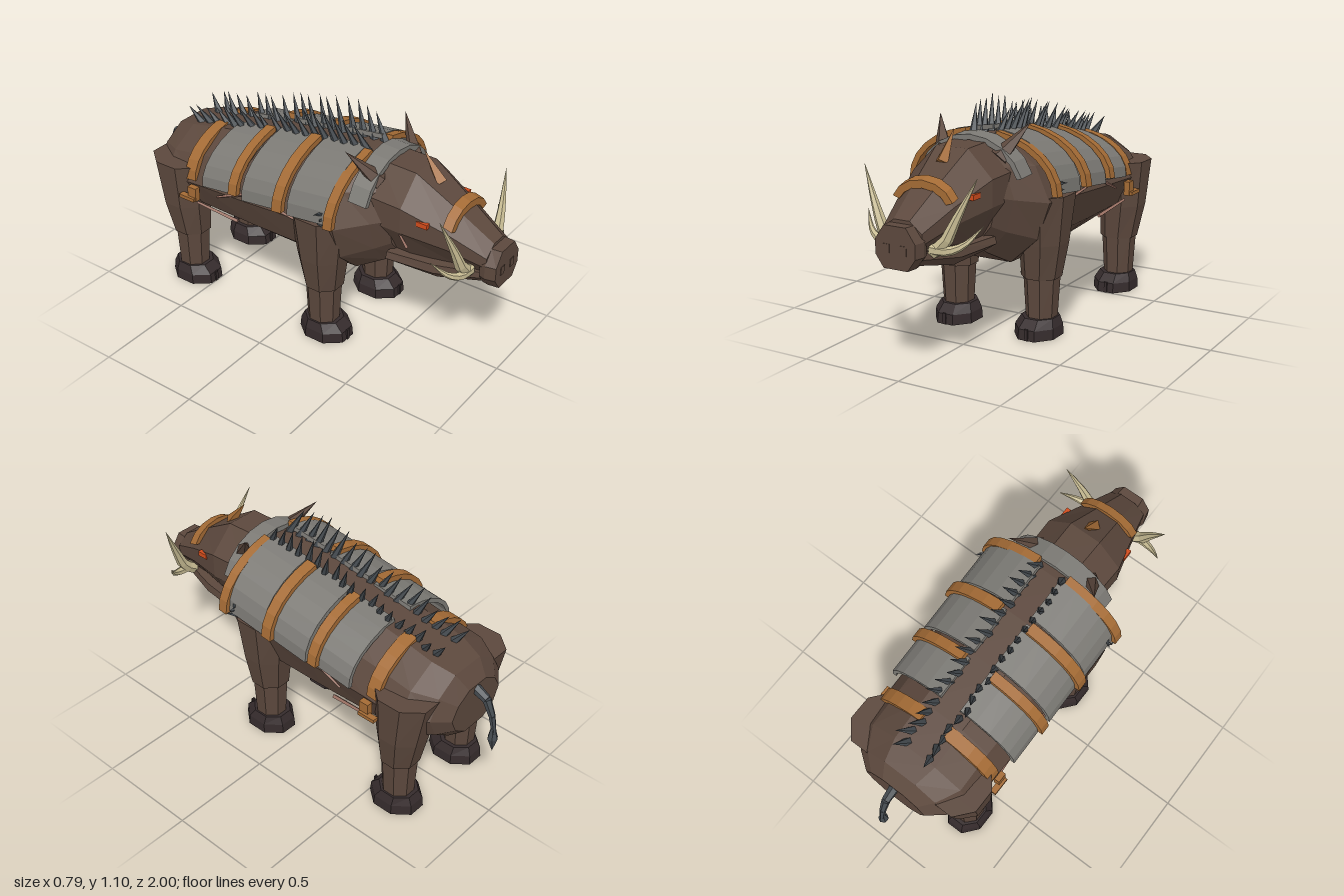
import * as THREE from 'three';

const mat = (name, color) => {
  const m = new THREE.MeshStandardMaterial({ color });
  m.name = name;
  return m;
};

export function createModel() {
  const hide = mat('brown hide', 0x5c483d), hoofMat = mat('dark hoof', 0x352b2c);
  const plateMat = mat('grey plate', 0x7c7a75), strapMat = mat('tan leather', 0xa46b35);
  const spikeMat = mat('dark steel', 0x454b50), ivory = mat('ivory', 0xc9bd94);
  const eyeMat = mat('ember eye', 0xd24c1c), scarMat = mat('pink scar', 0x9c7264);
  const model = new THREE.Group();
  const V = (x, y, z) => new THREE.Vector3(x, y, z);

  // Adds a mesh with faceted normals
  function add(name, geo, material, parent = model) {
    const g = geo.index ? geo.toNonIndexed() : geo;
    g.computeVertexNormals();
    const mesh = new THREE.Mesh(g, material);
    mesh.name = name;
    parent.add(mesh);
    return mesh;
  }

  // Skins a list of equal-length rings and caps both ends
  function loft(rings) {
    const n = rings[0].length, pos = [], idx = [];
    rings.forEach(r => r.forEach(p => pos.push(p.x, p.y, p.z)));
    for (let i = 0; i < rings.length - 1; i++) for (let j = 0; j < n; j++) {
      const a = i * n + j, b = i * n + (j + 1) % n;
      idx.push(a, b, b + n, a, b + n, a + n);
    }
    const e = (rings.length - 1) * n;
    for (let j = 1; j < n - 1; j++) idx.push(0, j + 1, j, e, e + j, e + j + 1);
    const g = new THREE.BufferGeometry();
    g.setAttribute('position', new THREE.Float32BufferAttribute(pos, 3));
    g.setIndex(idx);
    return g;
  }

  // Mirrored upright cross-section from [width, height] fractions, bottom to top
  function section(z, w, bot, top, frac) {
    const right = frac.map(([fx, fy]) => V(fx * w, bot + fy * (top - bot), z));
    return [...right, ...right.map(p => V(-p.x, p.y, z)).reverse()];
  }

  // Tapered rod between two points
  function rod(name, from, to, r0, r1, sides, material, parent) {
    const d = to.clone().sub(from);
    const m = add(name, new THREE.CylinderGeometry(r1, r0, d.length(), sides), material, parent);
    m.position.copy(from).addScaledVector(d, 0.5);
    m.quaternion.setFromUnitVectors(V(0, 1, 0), d.normalize());
    return m;
  }

  // Curved slab around the back: an elliptical arc extruded along z, following the back's slope
  function arcBand(name, z0, z1, rx, ry, yc, a0, a1, n, thick, slope, material) {
    const pts = [];
    const at = (i, t) => {
      const a = THREE.MathUtils.degToRad(a0 + (a1 - a0) * i / n);
      return new THREE.Vector2((rx - t) * Math.sin(a), yc + (ry - t) * Math.cos(a));
    };
    for (let i = 0; i <= n; i++) pts.push(at(i, 0));
    for (let i = n; i >= 0; i--) pts.push(at(i, thick));
    const g = new THREE.ExtrudeGeometry(new THREE.Shape(pts), { depth: z1 - z0, bevelEnabled: false });
    g.translate(0, 0, z0);
    const p = g.attributes.position;
    for (let i = 0; i < p.count; i++) p.setY(i, p.getY(i) + slope * (p.getZ(i) - (z0 + z1) / 2));
    return add(name, g, material);
  }

  // Body, from rump to neck
  const bodyFrac = [[0.4, 0], [0.82, 0.22], [1, 0.52], [0.78, 0.8], [0.35, 1]];
  add('body', loft([
    [-0.87, 0.17, 0.46, 0.69], [-0.81, 0.25, 0.42, 0.76], [-0.7, 0.325, 0.39, 0.79],
    [-0.5, 0.325, 0.375, 0.83], [-0.2, 0.335, 0.36, 0.88], [0.05, 0.34, 0.355, 0.92],
    [0.3, 0.335, 0.36, 0.94], [0.43, 0.23, 0.43, 0.93], [0.5, 0.185, 0.48, 0.92],
  ].map(([z, w, b, t]) => section(z, w, b, t, bodyFrac))), hide);

  // Head, snout and jaw
  const headFrac = [[0.5, 0], [1, 0.4], [1, 0.7], [0.4, 1]];
  add('head', loft([
    [0.38, 0.2, 0.52, 0.935], [0.57, 0.205, 0.52, 0.93], [0.78, 0.145, 0.54, 0.8], [0.95, 0.1, 0.53, 0.69],
  ].map(([z, w, b, t]) => section(z, w, b, t, headFrac))), hide);
  add('snout', loft([[0.92, 0.1], [0.95, 0.11], [1, 0.1]]
    .map(([z, w]) => section(z, w, 0.49, 0.675, [[0.6, 0], [1, 0.3], [1, 0.65], [0.55, 1]]))), hide);
  add('jaw', loft([
    [0.48, 0.17, 0.465, 0.53], [0.71, 0.135, 0.45, 0.53], [0.92, 0.085, 0.495, 0.55],
  ].map(([z, w, b, t]) => section(z, w, b, t, [[0.7, 0], [1, 0.5], [0.95, 1]]))), hide);
  rod('foreheadHorn', V(0, 0.875, 0.65), V(0, 1.01, 0.55), 0.032, 0, 4, strapMat);
  arcBand('browStrap', 0.755, 0.8, 0.16, 0.12, 0.715, -72, 72, 6, 0.035, -0.3, strapMat);

  // Armour plates [z0, z1, rx, ry, centre height] and straps, one per side
  const plates = [
    [0.075, 0.295, 0.372, 0.26, 0.705], [-0.19, 0.045, 0.37, 0.24, 0.685], [-0.44, -0.225, 0.358, 0.212, 0.665],
  ];
  const straps = [
    [0.29, 0.338, 0.395, 0.275, 0.7], [0.005, 0.06, 0.395, 0.27, 0.69],
    [-0.262, -0.212, 0.382, 0.242, 0.675], [-0.58, -0.515, 0.325, 0.215, 0.625],
  ];
  for (const s of [1, -1]) {
    for (const [z0, z1, rx, ry, yc] of plates)
      arcBand('backPlate', z0, z1, rx, ry, yc, s * 9, s * 93, 6, 0.022, 0.12, plateMat);
    for (const [z0, z1, rx, ry, yc] of straps)
      arcBand('strap', z0, z1, rx, ry, yc, s * 12, s * 90, 6, 0.028, 0.1, strapMat);
  }
  arcBand('neckPlate', 0.335, 0.43, 0.28, 0.25, 0.715, -72, 72, 8, 0.025, -0.05, plateMat);

  // Two rows of spine spikes, shorter toward the rump
  let seed = 7;
  const rnd = () => (seed = (seed * 16807) % 2147483647) / 2147483647;
  for (const s of [1, -1]) for (let i = 0; i < 19; i++) {
    const t = i / 18, z = 0.31 - t * 0.98, y = 0.925 - t * 0.15;
    const len = 0.2 * Math.min(1, 0.75 + t * 2) * (1 - 0.5 * t) * (0.9 + 0.2 * rnd());
    const x = s * (0.05 + 0.02 * rnd());
    rod('spineSpike', V(x, y, z), V(x + s * (0.015 + 0.035 * rnd()), y + len, z - 0.075), 0.024, 0, 5, spikeMat);
  }

  // Legs: tapered eight-sided rings with a small step at the knee
  const legRing = ([y, cx, rx, rz, dz], s, z) => Array.from({ length: 8 }, (_, k) => {
    const a = (k + 0.5) * Math.PI / 4, c = 1 / Math.cos(Math.PI / 8);
    return V(s * cx + Math.cos(a) * rx * c, y, z + dz - Math.sin(a) * rz * c);
  });
  const upper = [[0.28, 0.228, 0.088, 0.088, 0], [0.45, 0.24, 0.106, 0.115, 0], [0.68, 0.25, 0.122, 0.145, 0]];
  const lower = [[0.08, 0.23, 0.068, 0.072, 0], [0.29, 0.23, 0.08, 0.082, 0]];
  const hoof = [[0, 0.223, 0.103, 0.125, 0.012], [0.05, 0.223, 0.1, 0.12, 0.012], [0.09, 0.225, 0.082, 0.09, 0]];
  for (const s of [1, -1]) for (const [name, z, back] of [['front', 0.18, 0], ['rear', -0.64, -0.03]]) {
    const leg = new THREE.Group();
    leg.name = name + 'Leg';
    model.add(leg);
    const build = rings => loft(rings.map(r => legRing(r, s, z)));
    add('thigh', build(upper.map(([y, cx, rx, rz, dz], i) =>
      [y, cx - (back && i === 2 ? 0.01 : 0), rx, rz, dz + back * i / 2])), hide, leg);
    add('shin', build(lower), hide, leg);
    add('hoof', build(hoof), hoofMat, leg);
    add('hoofCleft', new THREE.BoxGeometry(0.016, 0.055, 0.008), hoofMat, leg)
      .position.set(s * 0.225, 0.028, z + 0.138);
  }

  // Curved, tapering tube through a few points
  function taper(name, pts, r, material) {
    const curve = new THREE.CatmullRomCurve3(pts), seg = 8, sides = 6;
    const g = new THREE.TubeGeometry(curve, seg, r, sides, false), p = g.attributes.position;
    for (let i = 0; i <= seg; i++) {
      const c = curve.getPointAt(i / seg), k = 1 - 0.97 * Math.pow(i / seg, 1.3);
      for (let j = 0; j <= sides; j++) {
        const q = i * (sides + 1) + j;
        const v = V().fromBufferAttribute(p, q).sub(c).multiplyScalar(k).add(c);
        p.setXYZ(q, v.x, v.y, v.z);
      }
    }
    return add(name, g, material);
  }

  // Paired details of the head and flanks
  for (const s of [1, -1]) {
    taper('upperTusk', [V(s * 0.09, 0.545, 0.86), V(s * 0.15, 0.59, 0.86), V(s * 0.2, 0.69, 0.85),
      V(s * 0.285, 0.87, 0.815)], 0.032, ivory);
    taper('lowerTusk', [V(s * 0.09, 0.56, 0.87), V(s * 0.17, 0.56, 0.865), V(s * 0.235, 0.59, 0.84),
      V(s * 0.295, 0.665, 0.785)], 0.026, ivory);
    const ear = rod('ear', V(s * 0.145, 0.87, 0.42), V(s * 0.24, 1.02, 0.3), 0.048, 0, 5, hide);
    ear.scale.z = 0.8;
    add('eye', new THREE.BoxGeometry(0.022, 0.024, 0.055), eyeMat).position.set(s * 0.178, 0.752, 0.67);
    add('nostril', new THREE.BoxGeometry(0.03, 0.042, 0.006), hide).position.set(s * 0.042, 0.575, 1);
    for (let k = 0; k < 3; k++) rod('shoulderSpike', V(s * 0.34, 0.69 + k * 0.03, 0.24 + k * 0.02),
      V(s * 0.392, 0.7 + k * 0.025, 0.3 - k * 0.03), 0.018, 0, 4, spikeMat);
    rod('scar', V(s * 0.338, 0.648, 0.1), V(s * 0.345, 0.67, -0.05), 0.009, 0.006, 4, scarMat);
    rod('scar', V(s * 0.335, 0.685, -0.17), V(s * 0.335, 0.595, -0.37), 0.01, 0.006, 4, scarMat);
    rod('scar', V(s * 0.285, 0.465, -0.29), V(s * 0.31, 0.5, -0.52), 0.011, 0.008, 4, scarMat);
    add('haunchBuckle', new THREE.BoxGeometry(0.03, 0.07, 0.05), strapMat).position.set(s * 0.335, 0.565, -0.52);
    add('haunchTab', new THREE.BoxGeometry(0.03, 0.018, 0.09), strapMat).position.set(s * 0.348, 0.54, -0.545);
  }
  rod('cheekScar', V(-0.185, 0.61, 0.6), V(-0.195, 0.68, 0.56), 0.009, 0.006, 4, scarMat);

  // Tail with a pointed tuft
  const tailPts = [V(0, 0.67, -0.85), V(0, 0.635, -0.925), V(0, 0.56, -0.96), V(0, 0.47, -0.98)];
  for (let i = 0; i < 3; i++)
    rod('tail', tailPts[i], tailPts[i + 1], 0.026 - i * 0.005, 0.021 - i * 0.005, 6, spikeMat);
  rod('tailTuft', V(0, 0.49, -0.972), V(0, 0.44, -0.975), 0.012, 0.025, 6, spikeMat);
  rod('tailTuft', V(0, 0.44, -0.975), V(0, 0.365, -0.978), 0.025, 0, 6, spikeMat);
  return model;
}
